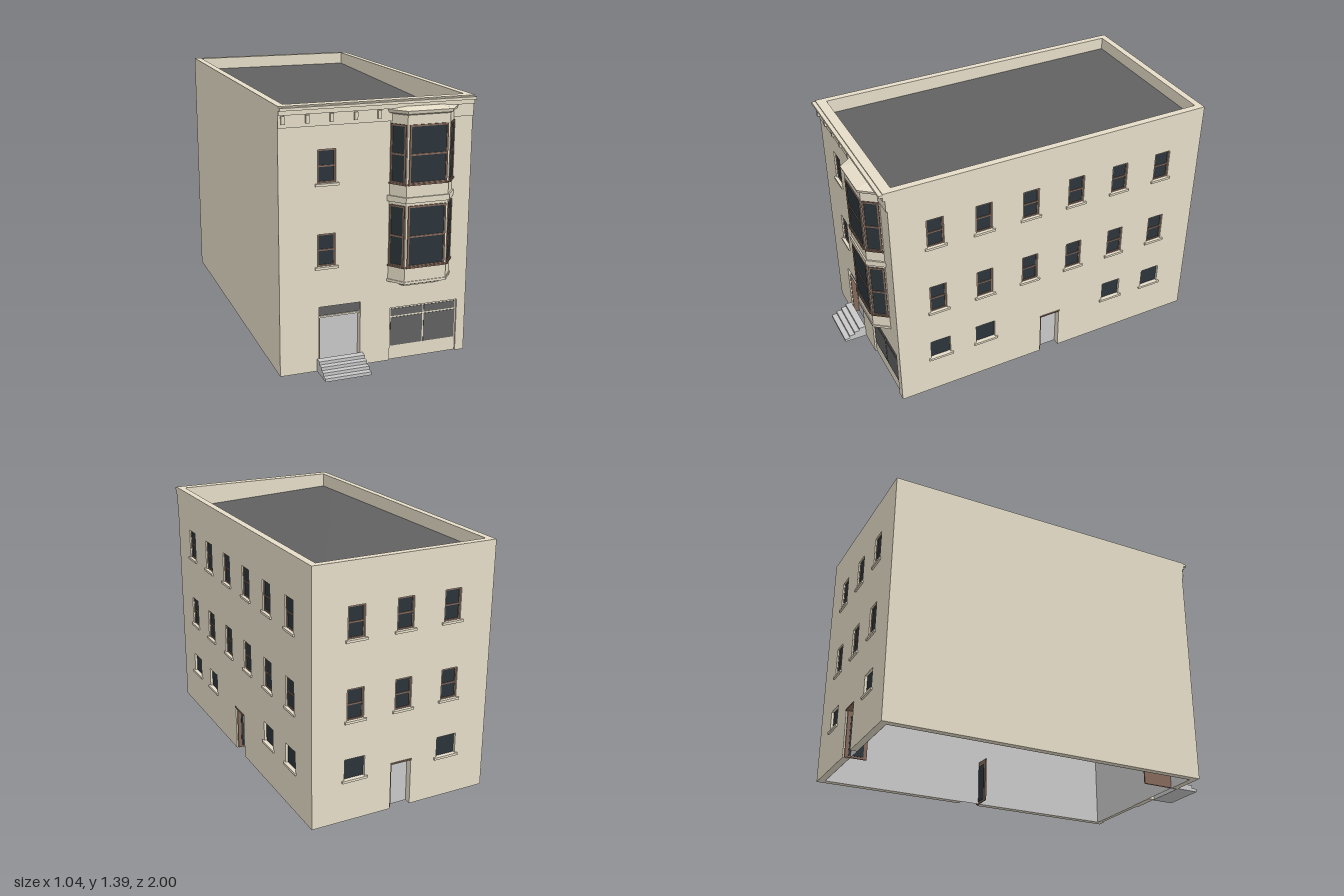
import * as THREE from 'three';

const mat = (name, color, side = THREE.FrontSide) => {
  const m = new THREE.MeshStandardMaterial({ color, side });
  m.name = name;
  return m;
};

export function createModel() {
  const stone = mat('stone', 0xe5dcc7);
  const brown = mat('brownTrim', 0x84695a);
  const glass = mat('windowGlass', 0x2b343a);
  const dark = mat('darkGrey', 0x616161);
  const grey = mat('lightGrey', 0xc8c8c8, THREE.DoubleSide);

  const model = new THREE.Group();
  model.name = 'building';
  const X0 = -0.522, X1 = 0.51, Z0 = -0.99, Z1 = 0.868, H = 1.39, T = 0.038;
  const cx = (X0 + X1) / 2, cz = (Z0 + Z1) / 2, W = X1 - X0, D = Z1 - Z0;
  const LINING = 1.255;

  const add = (parent, name, geo, material) => {
    const m = new THREE.Mesh(geo, material);
    m.name = name;
    parent.add(m);
    return m;
  };
  // box given by its limits on each axis
  const box = (parent, name, material, x0, x1, y0, y1, z0, z1) => {
    const m = add(parent, name, new THREE.BoxGeometry(x1 - x0, y1 - y0, z1 - z0), material);
    m.position.set((x0 + x1) / 2, (y0 + y1) / 2, (z0 + z1) / 2);
    return m;
  };
  const group = (parent, name, x = 0, y = 0, z = 0, ry = 0) => {
    const g = new THREE.Group();
    g.name = name;
    g.position.set(x, y, z);
    g.rotation.y = ry;
    parent.add(g);
    return g;
  };

  // framed sash window, front of the frame at z
  function sash(parent, x0, x1, y0, y1, z, f = 0.008) {
    const g = group(parent, 'sashWindow'), ym = (y0 + y1) / 2;
    box(g, 'glass', glass, x0, x1, y0, y1, z - 0.008, z - 0.004);
    for (const x of [x0, x1 - f]) box(g, 'frameSide', brown, x, x + f, y0, y1, z - 0.008, z);
    for (const y of [y0, ym - f / 2, y1 - f]) box(g, 'frameRail', brown, x0, x1, y, y + f, z - 0.008, z);
  }

  // wall with notches [x0, x1, height] along the ground; windows are [x centre, y0, y1, width, framed]
  function wall(name, w, x, z, ry, windows, notches = []) {
    const g = group(model, name, x, 0, z, ry);
    const s = new THREE.Shape();
    s.moveTo(-w / 2, 0);
    for (const [a, b, t] of notches) {
      s.lineTo(a, 0); s.lineTo(a, t); s.lineTo(b, t); s.lineTo(b, 0);
    }
    s.lineTo(w / 2, 0); s.lineTo(w / 2, H); s.lineTo(-w / 2, H);
    for (const [c, y0, y1, ww] of windows) {
      const a = c - ww / 2, b = c + ww / 2, p = new THREE.Path();
      p.moveTo(a, y0); p.lineTo(a, y1); p.lineTo(b, y1); p.lineTo(b, y0); p.closePath();
      s.holes.push(p);
    }
    const geo = new THREE.ExtrudeGeometry(s, { depth: T, bevelEnabled: false });
    add(g, 'wallBody', geo.translate(0, 0, -T), stone);
    // lining also closes the doorways from behind
    const lining = new THREE.PlaneGeometry(w === W ? W - 2 * T : w, LINING);
    add(g, 'innerLining', lining.translate(0, LINING / 2, -T - 0.001), grey);
    for (const [c, y0, y1, ww, framed] of windows) {
      const a = c - ww / 2, b = c + ww / 2;
      if (framed) sash(g, a, b, y0, y1, -0.008);
      else box(g, 'glass', glass, a, b, y0, y1, -0.02, -0.014);
      box(g, 'sill', stone, a - 0.014, b + 0.014, y0 - 0.013, y0, -0.012, 0.01);
    }
    return g;
  }

  // door leaf standing at a right angle to its wall
  function openDoor(parent, hinge, width, height, glassFrom) {
    const g = group(parent, 'openDoor', hinge, 0, -0.008);
    box(g, 'leaf', brown, 0, 0.008, 0.002, height, -width, 0);
    box(g, 'doorGlass', glass, -0.002, 0.01, height * glassFrom, height * 0.9, -width * 0.84, -width * 0.16);
  }

  const rows = (c, w = 0.095) => [[c, 0.565, 0.735, w, true], [c, 0.995, 1.165, w, true]];
  const low = c => [c, 0.237, 0.352, 0.117, false];

  // four walls
  const front = wall('frontWall', W, cx, Z1, 0, rows(-0.274 - cx),
    [[-0.314 - cx, -0.09 - cx, 0.35], [0.076 - cx, 0.46 - cx, 0.294]]);
  const right = wall('sideWall', D - 2 * T, X1, cz, Math.PI / 2,
    [...[-0.686, -0.412, -0.138, 0.136, 0.408, 0.682].flatMap(c => rows(c)), ...[-0.686, -0.412, 0.408, 0.682].map(low)],
    [[-0.06, 0.06, 0.265]]);
  const back = wall('backWall', W, cx, Z0, Math.PI,
    [...[-0.275, 0, 0.275].flatMap(c => rows(c)), ...[-0.275, 0.275].map(low)],
    [[-0.06, 0.06, 0.265]]);
  wall('blankSideWall', D - 2 * T, X0, cz, -Math.PI / 2, []);

  // doors
  openDoor(front, -0.314 - cx, 0.21, 0.288, 0.3);
  for (const g of [right, back]) {
    openDoor(g, -0.06, 0.12, 0.26, 0.05);
    box(g, 'doorHead', brown, -0.064, 0.064, 0.26, 0.268, -0.03, 0.004);
  }

  // front entrance: transom and steps
  const entry = group(model, 'entrance');
  box(entry, 'transom', dark, -0.314, -0.09, 0.297, 0.35, Z1 - 0.024, Z1 - 0.015);
  box(entry, 'transomBar', stone, -0.314, -0.09, 0.288, 0.297, Z1 - 0.03, Z1 - 0.008);
  for (let i = 0; i < 4; i++)
    box(entry, 'step', grey, -0.325, -0.077, i * 0.0172, (i + 1) * 0.0172, Z1, 1 - i * 0.031);

  // shop window
  const shop = group(model, 'shopWindow');
  box(shop, 'shopFrame', stone, 0.076, 0.46, 0, 0.294, Z1 - 0.034, Z1 - 0.01);
  for (const [a, b] of [[0.083, 0.265], [0.273, 0.453]])
    for (const [c, d] of [[0.077, 0.236], [0.244, 0.285]])
      box(shop, 'shopPane', dark, a, b, c, d, Z1 - 0.012, Z1 - 0.008);

  // roof deck and ceiling, both falling to the front corner on the windowed side
  for (const [name, material, y] of [['roofDeck', dark, 1.312], ['ceiling', grey, 1.303]]) {
    const slab = box(model, name, material, X0 + T, X1 - T, y, y + 0.008, Z0 + T, Z1 - T);
    const p = slab.geometry.attributes.position;
    for (let i = 0; i < p.count; i++)
      if (p.getZ(i) > 0) p.setY(i, p.getY(i) - (p.getX(i) > 0 ? 0.055 : 0.01));
    slab.geometry.computeVertexNormals();
  }

  // cornice profile run along the front, with brackets
  const profile = [[0, 1.283], [0.007, 1.283], [0.007, 1.346], [0.018, 1.346], [0.018, 1.37],
    [0.037, 1.37], [0.037, 1.384], [0.016, 1.384], [0.016, H], [0, H]];
  const corniceShape = new THREE.Shape(profile.map(p => new THREE.Vector2(...p)));
  const cornice = add(model, 'cornice', new THREE.ExtrudeGeometry(corniceShape, { depth: W, bevelEnabled: false }), stone);
  cornice.rotation.y = -Math.PI / 2;
  cornice.position.set(X1, 0, Z1);
  for (let i = 0; i < 5; i++) {
    const x = -0.5 + i * 0.1235;
    box(model, 'bracket', stone, x - 0.009, x + 0.009, 1.302, 1.342, Z1, Z1 + 0.02);
  }

  // bay window: three-sided plan lofted through [height, offset] levels
  const bay = group(model, 'bayWindow', 0.232, 0, Z1);
  const A = 0.173, B = 0.115, P = 0.078;
  const levels = [[0.42, -0.045], [0.433, -0.045], [0.433, -0.025], [0.446, -0.02], [0.446, 0.004], [0.46, 0.004],
    [0.46, 0], [0.875, 0], [0.875, 0.008], [0.905, 0.008], [0.905, 0], [1.32, 0], [1.327, 0.012],
    [1.343, 0.017], [1.354, -0.045]];
  const pos = [], idx = [];
  for (const [y, o] of levels) {
    const a = A + 1.414 * o, b = B + 0.414 * o, d = P + o;
    pos.push(-a, y, 0, -b, y, d, b, y, d, a, y, 0);
  }
  for (let l = 0; l < levels.length - 1; l++)
    for (let i = 0; i < 3; i++) {
      const p = l * 4 + i;
      idx.push(p, p + 1, p + 5, p, p + 5, p + 4);
    }
  const t = (levels.length - 1) * 4;
  idx.push(0, 2, 1, 0, 3, 2, t, t + 1, t + 2, t, t + 2, t + 3);
  const indexed = new THREE.BufferGeometry();
  indexed.setAttribute('position', new THREE.Float32BufferAttribute(pos, 3));
  indexed.setIndex(idx);
  const bayGeo = indexed.toNonIndexed();
  bayGeo.computeVertexNormals();
  add(bay, 'bayBody', bayGeo, stone);

  // bay sashes on the front and both slanted faces
  const slant = Math.atan2(P, A - B), mid = (A + B) / 2;
  for (const [x, z, ry, half] of [[0, P, 0, 0.104], [mid, P / 2, slant, 0.043], [-mid, P / 2, -slant, 0.043]]) {
    const face = group(bay, 'bayFace', x, 0, z, ry);
    for (const [y0, y1] of [[0.538, 0.86], [0.972, 1.272]]) {
      sash(face, -half, half, y0, y1, 0.006, 0.009);
      box(face, 'baySill', brown, -half - 0.005, half + 0.005, y0 - 0.006, y0 + 0.002, -0.004, 0.01);
    }
  }
  return model;
}
